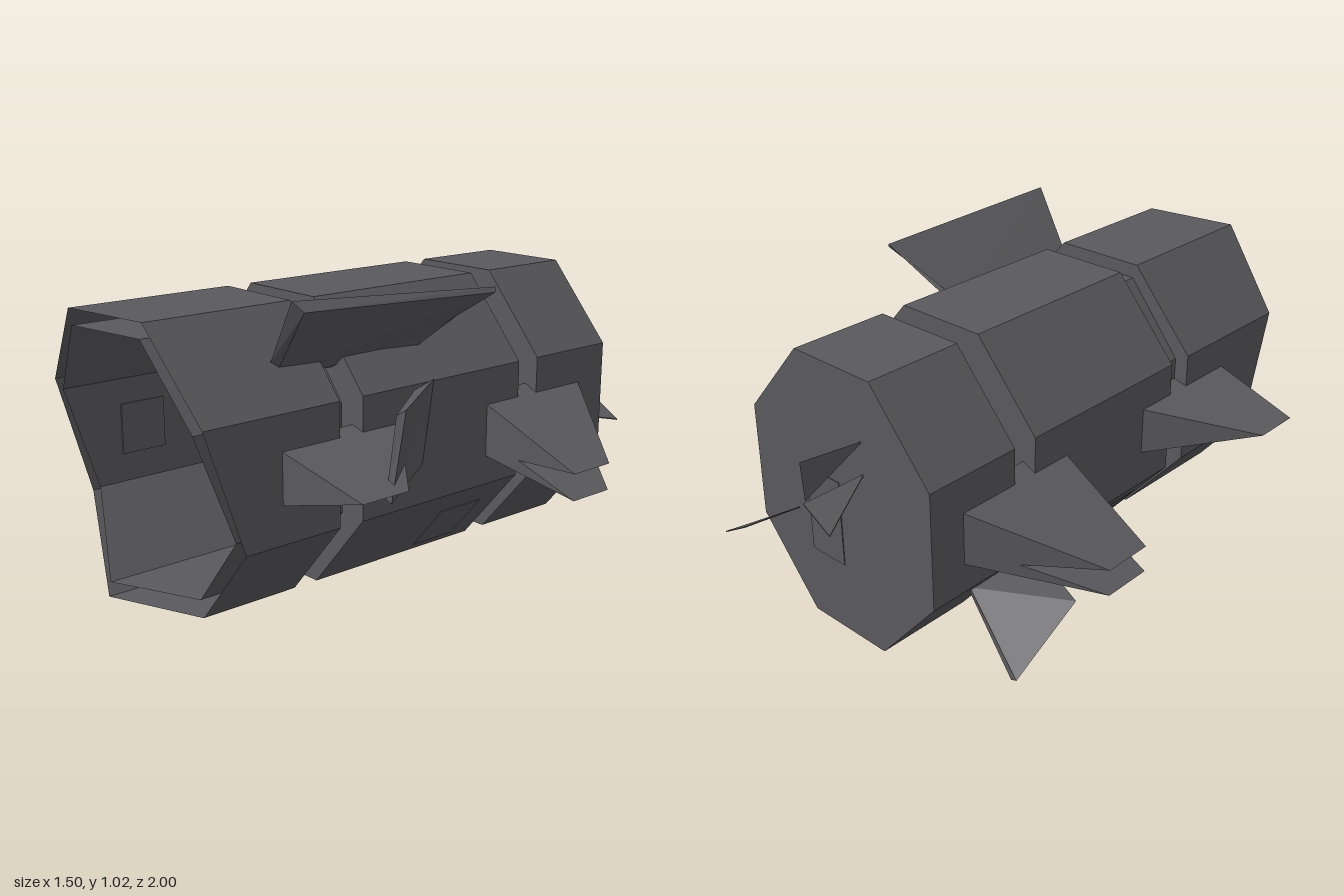
import * as THREE from 'three';

const hullGrey = new THREE.MeshStandardMaterial({ color: 0x5a5a5e, side: THREE.DoubleSide });
hullGrey.name = 'hullGrey';

// Octagonal outlines, clockwise from the upper left-hand corner of the model
const octagon = (a, b, top, upper, lower, bottom) => [
  [a, top], [b, upper], [b, lower], [a, bottom], [-a, bottom], [-b, lower], [-b, upper], [-a, top]];
const OUTER = octagon(0.165, 0.945, 0, 0, 0, 0) && octagon(0.165, 0.4, 0.945, 0.675, 0.275, 0);
const INNER = octagon(0.15, 0.35, 0.895, 0.65, 0.3, 0.055);
const ring = (outline, z) => outline.map(([x, y], i) => [x, y, Array.isArray(z) ? z[i] : z]);

// Faceted skin through a list of cross-sections, optionally closed at either end
function loft(loops, capStart = true, capEnd = true) {
  const pos = [];
  const tri = (...pts) => pts.forEach((p) => pos.push(...p));
  const n = loops[0].length;
  for (let k = 0; k < loops.length - 1; k++) {
    const a = loops[k], b = loops[k + 1];
    for (let i = 0; i < n; i++) {
      const j = (i + 1) % n;
      tri(a[i], b[i], b[j]);
      tri(a[i], b[j], a[j]);
    }
  }
  const first = loops[0], last = loops[loops.length - 1];
  for (let i = 1; i < n - 1; i++) {
    if (capStart) tri(first[0], first[i], first[i + 1]);
    if (capEnd) tri(last[0], last[i + 1], last[i]);
  }
  const g = new THREE.BufferGeometry();
  g.setAttribute('position', new THREE.Float32BufferAttribute(pos, 3));
  g.computeVertexNormals();
  return g;
}

export function createModel() {
  const model = new THREE.Group();
  const add = (name, geometry) => {
    const m = new THREE.Mesh(geometry, hullGrey);
    m.name = name;
    model.add(m);
    return m;
  };

  // Three broken hull sections
  const tornEdge = [0.95, 0.915, 0.78, 0.78, 0.92, 0.83, 0.94, 1.0];
  add('frontHull', loft([ring(INNER, 0.38), ring(INNER, 0.43), ring(OUTER, 0.43), ring(OUTER, tornEdge)], true, false));
  add('frontInnerWall', loft([ring(INNER, tornEdge), ring(INNER, 0.43)], false, false));
  add('middleHull', loft([ring(OUTER, -0.35), ring(OUTER, 0.34)]));
  add('rearHull', loft([ring(OUTER, -0.79), ring(OUTER, -0.44)]));

  // Wedge fin: tall at the root, thinning to an edge at the tip
  function fin(name, side, [rootBack, rootFront], [tipBack, tipFront], [low, high], tipX, tipY) {
    const section = (x, z0, z1) => {
      const t = (x - 0.35) / (tipX - 0.35);
      const y0 = low + (tipY - low) * t, y1 = high + (tipY - high) * t;
      const loop = [[side * x, y0, z0], [side * x, y1, z0], [side * x, y1, z1], [side * x, y0, z1]];
      return side > 0 ? loop : loop.reverse();
    };
    add(name, loft([section(0.35, rootBack, rootFront), section(0.4, rootBack, rootFront),
      section(tipX, tipBack, tipFront)]));
  }
  for (const side of [1, -1]) {
    const s = side > 0 ? 'left' : 'right';
    fin(s + 'FrontFin', side, [0.19, 0.645], [0.44, 0.61], [0.385, 0.575], 0.715, 0.48);
    fin(s + 'RearUpperFin', side, [-0.66, -0.2], [-0.41, -0.24], [0.385, 0.575], 0.75, 0.39);
    fin(s + 'RearLowerFin', side, [-0.66, -0.2], [-0.41, -0.24], [0.385, 0.46], 0.75, 0.3);
  }

  // Torn plates, each from an inner edge section to an outer edge section
  add('upperTornPlate', loft([
    [[0.25, 0.735, 0.56], [0.25, 0.74, 0.08], [0.31, 0.77, 0.035], [0.29, 0.8, 0.6]],
    [[0.53, 0.99, 0.66], [0.555, 0.965, -0.06], [0.545, 0.98, -0.07], [0.5, 1.02, 0.68]]]));
  add('sideTornPlate', loft([
    [[0.37, 0.41, 0.12], [0.35, 0.65, 0.07], [0.4, 0.68, 0.045], [0.41, 0.41, 0.1]],
    [[0.64, 0.44, 0.46], [0.66, 0.69, 0.44], [0.69, 0.71, 0.43], [0.67, 0.435, 0.465]]]));
  add('lowerTornPlate', loft([
    [[-0.34, 0.2, -0.58], [-0.35, 0.23, -0.59], [-0.32, 0.265, -0.31], [-0.32, 0.25, -0.31]],
    [[-0.615, 0.08, -0.69], [-0.645, 0.1, -0.7], [-0.665, 0.265, -0.46], [-0.64, 0.25, -0.45]]]));

  // Shards flaring out behind the rear wall
  [
    [[-0.115, 0.735, -0.785], [-0.1, 0.75, -1], [-0.11, 0.63, -1]],
    [[-0.115, 0.625, -0.785], [-0.1, 0.615, -1], [-0.21, 0.555, -1]],
    [[0.21, 0.375, -0.785], [0.21, 0.4, -1], [0.32, 0.335, -1]],
  ].forEach((t, i) => add('rearShard' + (i + 1),
    loft([t, t.map(([x, y, z]) => [x, y - 0.004, z])])));

  // Thin hatches on the hull
  const hatch = (name, size, at, roll = 0) => {
    const m = add(name, new THREE.BoxGeometry(...size));
    m.position.set(...at);
    m.rotation.z = roll;
  };
  const slope = Math.atan2(0.275, 0.235);
  hatch('rearHatch', [0.15, 0.3, 0.006], [0.075, 0.4, -0.79]);
  hatch('leftHatch', [0.21, 0.006, 0.18], [0.259, 0.11, -0.16], slope);
  hatch('rightHatch', [0.21, 0.006, 0.18], [-0.259, 0.11, 0.17], -slope);
  hatch('innerHatch', [0.006, 0.17, 0.16], [-0.348, 0.48, 0.66]);

  return model;
}
